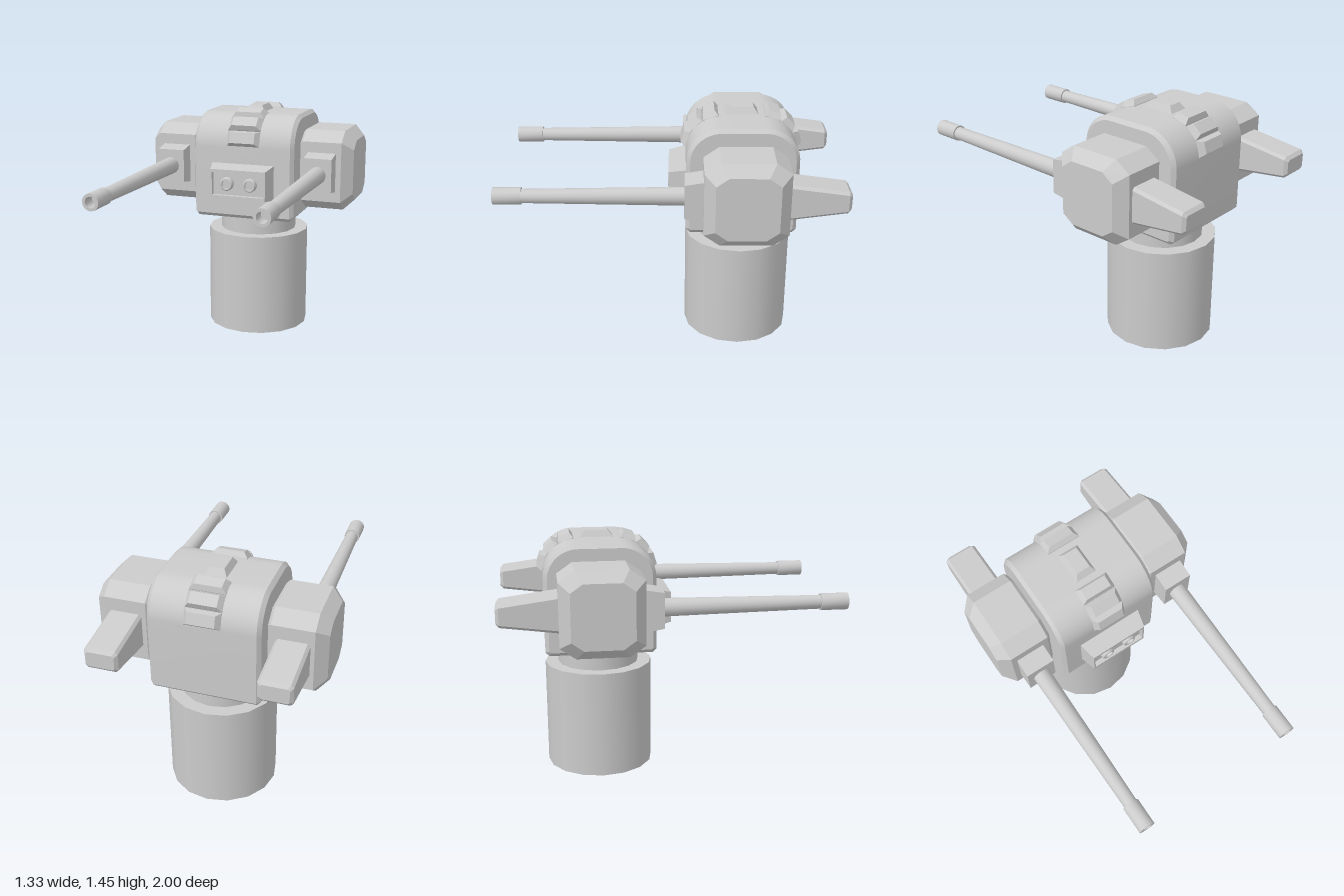
import * as THREE from 'three';
import { toCreasedNormals } from 'three/addons/utils/BufferGeometryUtils.js';

const CZ = -0.41; // turret axis
const grey = new THREE.MeshStandardMaterial({ color: 0xcccccc });

function add(parent, name, geometry, x = 0, y = 0, z = 0) {
  const mesh = new THREE.Mesh(geometry, grey);
  mesh.name = name;
  mesh.position.set(x, y, z);
  parent.add(mesh);
  return mesh;
}

// Rectangle loop in the xy plane at depth z, with optional corner chamfers
function rect(w, h, z, cx = 0, cy = cx) {
  const pts = cx
    ? [[-w + cx, -h], [w - cx, -h], [w, -h + cy], [w, h - cy], [w - cx, h], [-w + cx, h], [-w, h - cy], [-w, -h + cy]]
    : [[-w, -h], [w, -h], [w, h], [-w, h]];
  return pts.map(([x, y]) => [x, y, z]);
}

// Flat-sided solid through loops, with both ends capped
function loft(loops) {
  const pos = [];
  const tri = (...p) => p.forEach((v) => pos.push(...v));
  const n = loops[0].length;
  for (let k = 0; k < loops.length - 1; k++) {
    const a = loops[k], b = loops[k + 1];
    for (let i = 0; i < n; i++) {
      const j = (i + 1) % n;
      tri(a[i], a[j], b[j]);
      tri(a[i], b[j], b[i]);
    }
  }
  const first = loops[0], last = loops[loops.length - 1];
  for (let i = 1; i < n - 1; i++) {
    tri(first[0], first[i + 1], first[i]);
    tri(last[0], last[i], last[i + 1]);
  }
  const g = new THREE.BufferGeometry();
  g.setAttribute('position', new THREE.Float32BufferAttribute(pos, 3));
  g.computeVertexNormals();
  return g;
}

// Turned part pointing along +z, profile given as [radius, z]
function turned(profile, sides = 16) {
  const g = new THREE.LatheGeometry(profile.map(([r, z]) => new THREE.Vector2(r, z)), sides);
  return toCreasedNormals(g.rotateX(Math.PI / 2), 0.6);
}

// Housing: square below, rounded above, bevelled side edges
function housingGeometry() {
  const h = 0.325, c = 0.022, r = 0.2, y0 = 0.765, y1 = 1.415;
  const s = new THREE.Shape();
  s.moveTo(-h + c, y0);
  s.lineTo(h - c, y0);
  s.lineTo(h, y0 + c);
  s.lineTo(h, y1 - r);
  s.absarc(h - r, y1 - r, r, 0, Math.PI / 2);
  s.lineTo(-h + r, y1);
  s.absarc(-h + r, y1 - r, r, Math.PI / 2, Math.PI);
  s.lineTo(-h, y0 + c);
  s.closePath();
  const g = new THREE.ExtrudeGeometry(s, {
    depth: 2 * (h - c), curveSegments: 8,
    bevelSize: c, bevelThickness: c, bevelOffset: -c, bevelSegments: 1,
  });
  g.translate(0, 0, -(h - c)).rotateY(Math.PI / 2);
  return toCreasedNormals(g, 0.5);
}

// One gun pod on +x, symmetric above and below its own axis
function gunPod(name) {
  const pod = new THREE.Group();
  pod.name = name;
  const x = 0.48;

  const hub = new THREE.CylinderGeometry(0.16, 0.16, 0.06, 16).rotateZ(Math.PI / 2);
  add(pod, 'podHub', hub, 0.33);

  const shell = loft([
    rect(0.22, 0.23, 0.337, 0.085, 0.06),
    rect(0.24, 0.248, 0.357, 0.09, 0.063),
    rect(0.24, 0.248, 0.6, 0.09, 0.063),
    rect(0.178, 0.187, 0.665, 0.07, 0.05),
  ]).rotateY(Math.PI / 2);
  add(pod, 'podShell', shell, 0, 0, -0.01);

  add(pod, 'barrelMount', loft([rect(0.087, 0.123, 0.21), rect(0.087, 0.102, 0.337)]), x);
  add(pod, 'barrel', turned([
    [0.053, 0.33], [0.04, 1.25], [0.049, 1.25], [0.049, 1.41],
    [0.032, 1.41], [0.032, 1.33], [0, 1.33],
  ]), x);
  add(pod, 'tailBlock', loft([
    rect(0.08, 0.045, -0.59, 0.01),
    rect(0.097, 0.064, -0.572, 0.016),
    rect(0.097, 0.108, -0.24, 0.016),
  ]), x);
  return pod;
}

export function createModel() {
  const model = new THREE.Group();
  model.name = 'gunTurret';

  // Pedestal and housing
  add(model, 'base', new THREE.CylinderGeometry(0.325, 0.325, 0.645, 16), 0, 0.3225, CZ);
  add(model, 'neck', new THREE.CylinderGeometry(0.245, 0.245, 0.16, 16), 0, 0.71, CZ);
  add(model, 'housing', housingGeometry(), 0, 0, CZ);

  // Armour blocks following the rounded top, front and back
  const block = loft([rect(0.105, 0.049, 0.17), rect(0.105, 0.047, 0.2), rect(0.08, 0.034, 0.232)]);
  for (const side of [1, -1]) {
    for (const deg of [17, 45, 73]) {
      const angle = THREE.MathUtils.degToRad(side > 0 ? deg : 180 - deg);
      add(model, 'ridgeBlock', block, 0, 1.215, CZ + side * 0.125).rotation.x = -angle;
    }
  }
  const topBlock = loft([rect(0.07, 0.105, -0.01), rect(0.042, 0.07, 0.038)]);
  add(model, 'topBlock', topBlock, 0, 1.415, CZ).rotation.x = -Math.PI / 2;

  // Sensor box with recessed face and two lenses
  add(model, 'sensorBox', loft([
    rect(0.205, 0.116, -0.1), rect(0.178, 0.092, 0.018),
    rect(0.168, 0.072, 0.018), rect(0.168, 0.072, -0.012),
  ]), 0, 1.003, 0);
  const lens = turned([[0.042, -0.02], [0.042, 0.012], [0.036, 0.02], [0.028, 0.02], [0.028, 0], [0, 0]]);
  for (const x of [-0.075, 0.075]) add(model, 'sensorLens', lens, x, 1.003, 0);

  // Gun pods: the right one is the left one turned half way round the z axis
  for (const side of [1, -1]) {
    const pod = gunPod(side > 0 ? 'leftGunPod' : 'rightGunPod');
    pod.position.set(0, 1.08, CZ);
    if (side < 0) pod.rotation.z = Math.PI;
    model.add(pod);
  }
  return model;
}
